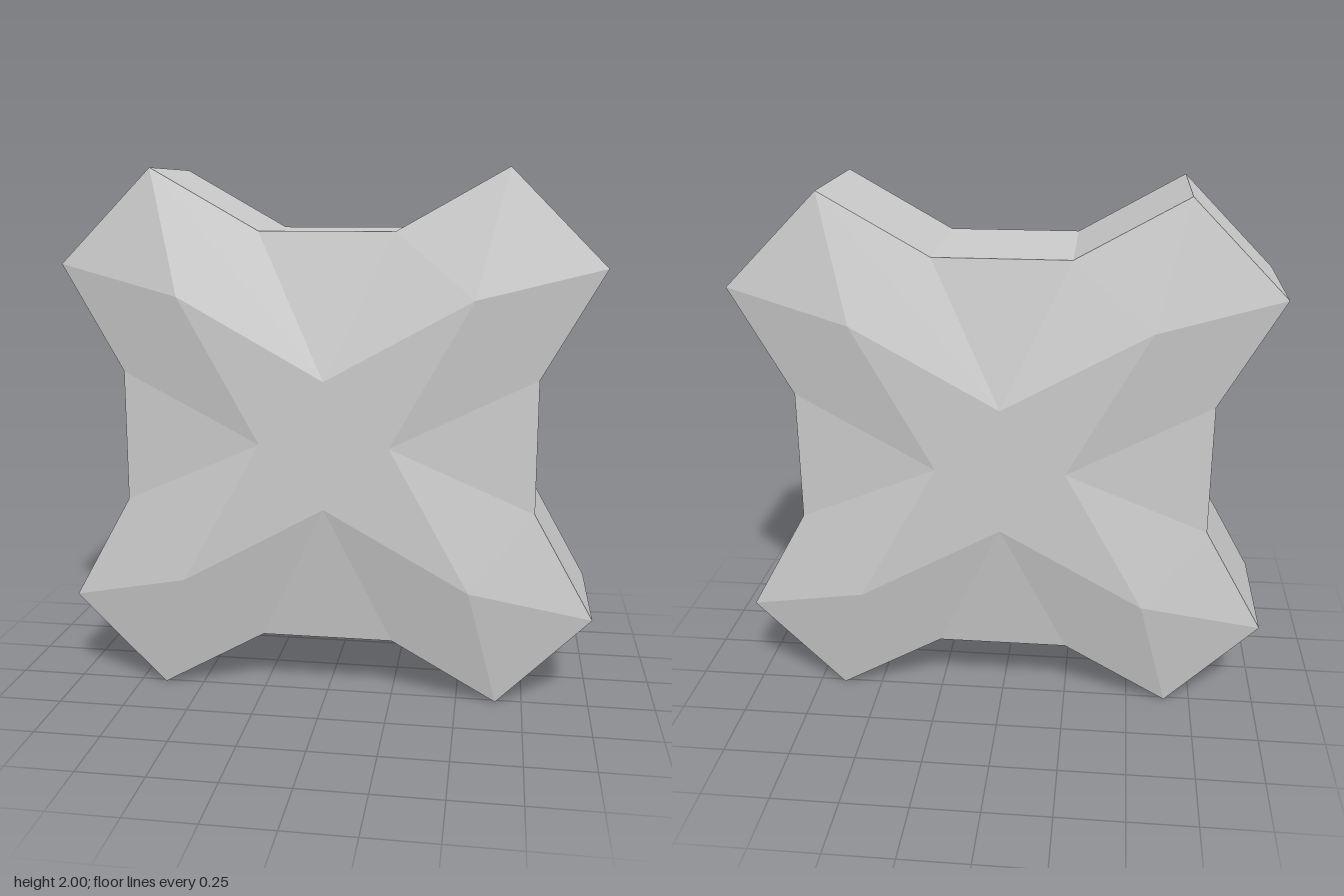
import * as THREE from 'three';

const RIM_Z = 0.265, FACE_Z = 0.35;
// One quarter of the outline (counter-clockwise) and of the raised star
const OUTLINE = [[0.775, 0.25], [1, 0.65], [0.65, 1], [0.25, 0.775]];
const STAR = [[0.24, 0], [0.54, 0.54]];

// Repeats a quarter four times around the z axis
function ring(quarter, z) {
  const points = [];
  for (let k = 0; k < 4; k++) {
    for (const [x, y] of quarter) {
      points.push(new THREE.Vector3([x, -y, -x, y][k], [y, x, -y, -x][k], z));
    }
  }
  return points;
}

// Flat-sided geometry from convex polygons
function fromPolygons(polygons) {
  const vertices = [];
  for (const p of polygons) {
    for (let i = 1; i < p.length - 1; i++) vertices.push(p[0], p[i], p[i + 1]);
  }
  const geometry = new THREE.BufferGeometry().setFromPoints(vertices);
  geometry.computeVertexNormals();
  return geometry;
}

export function createModel() {
  const model = new THREE.Group();
  model.name = 'fourArmedBlock';
  const material = new THREE.MeshStandardMaterial({ color: 0xcccccc, flatShading: true });
  const add = (name, geometry) => {
    const mesh = new THREE.Mesh(geometry, material);
    mesh.name = name;
    mesh.position.y = 1;
    model.add(mesh);
    return mesh;
  };

  const rim = ring(OUTLINE, RIM_Z);
  const backRim = ring(OUTLINE, -RIM_Z);
  const star = ring(STAR, FACE_Z);
  const centre = new THREE.Vector3(0, 0, FACE_Z);

  // Side walls
  const walls = rim.map((p, i) => {
    const j = (i + 1) % rim.length;
    return [p, backRim[i], backRim[j], rim[j]];
  });
  add('sideWalls', fromPolygons(walls));

  // Raised star with bevels sloping down to the rim
  const face = [];
  for (let k = 0; k < 4; k++) {
    const [v1, c1, c2, v2] = rim.slice(4 * k, 4 * k + 4);
    const nextV1 = rim[(4 * k + 4) % 16];
    const valley = star[2 * k], tip = star[2 * k + 1], nextValley = star[(2 * k + 2) % 8];
    face.push(
      [valley, v1, c1, tip], [tip, c1, c2], [tip, c2, v2, nextValley],
      [nextValley, v2, nextV1], [centre, valley, tip, nextValley]
    );
  }
  const faceGeometry = fromPolygons(face);
  add('frontFace', faceGeometry);
  add('backFace', faceGeometry).rotation.y = Math.PI;

  return model;
}
